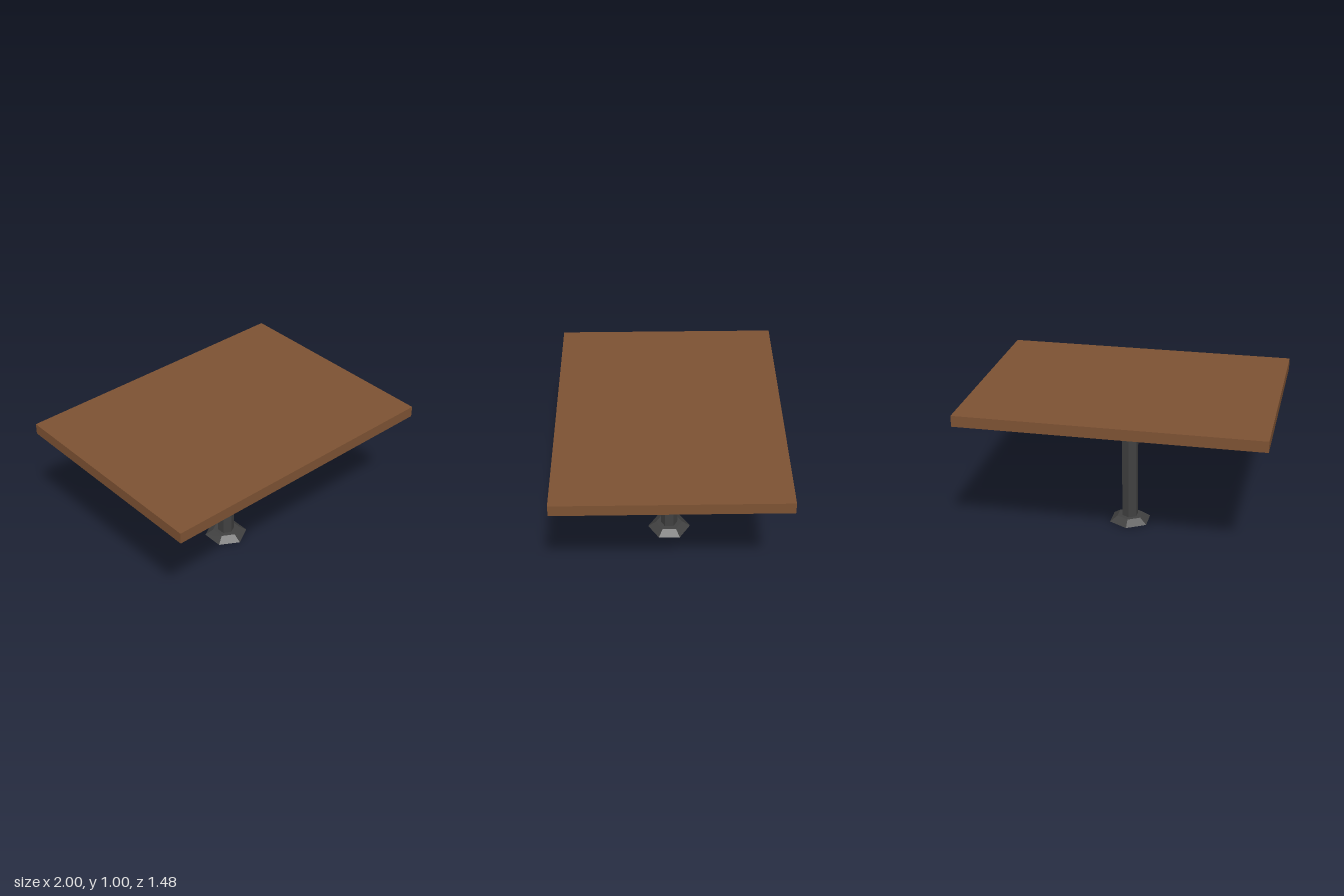
import * as THREE from 'three';

export function createModel() {
  const group = new THREE.Group();
  const wood = new THREE.MeshStandardMaterial({ color: 0x7d5233, flatShading: true });
  const metal = new THREE.MeshStandardMaterial({ color: 0x404040, flatShading: true });

  function add(name, geometry, material, y) {
    const mesh = new THREE.Mesh(geometry, material);
    mesh.name = name;
    mesh.position.y = y;
    group.add(mesh);
  }

  // Rectangular slab
  add('tableTop', new THREE.BoxGeometry(2, 0.074, 1.484), wood, 0.963);
  // Hexagonal post, corners pointing along z
  add('post', new THREE.CylinderGeometry(0.058, 0.058, 0.926, 6), metal, 0.463);
  // Tapered hexagonal foot
  add('foot', new THREE.CylinderGeometry(0.093, 0.148, 0.038, 6), metal, 0.019);

  return group;
}
